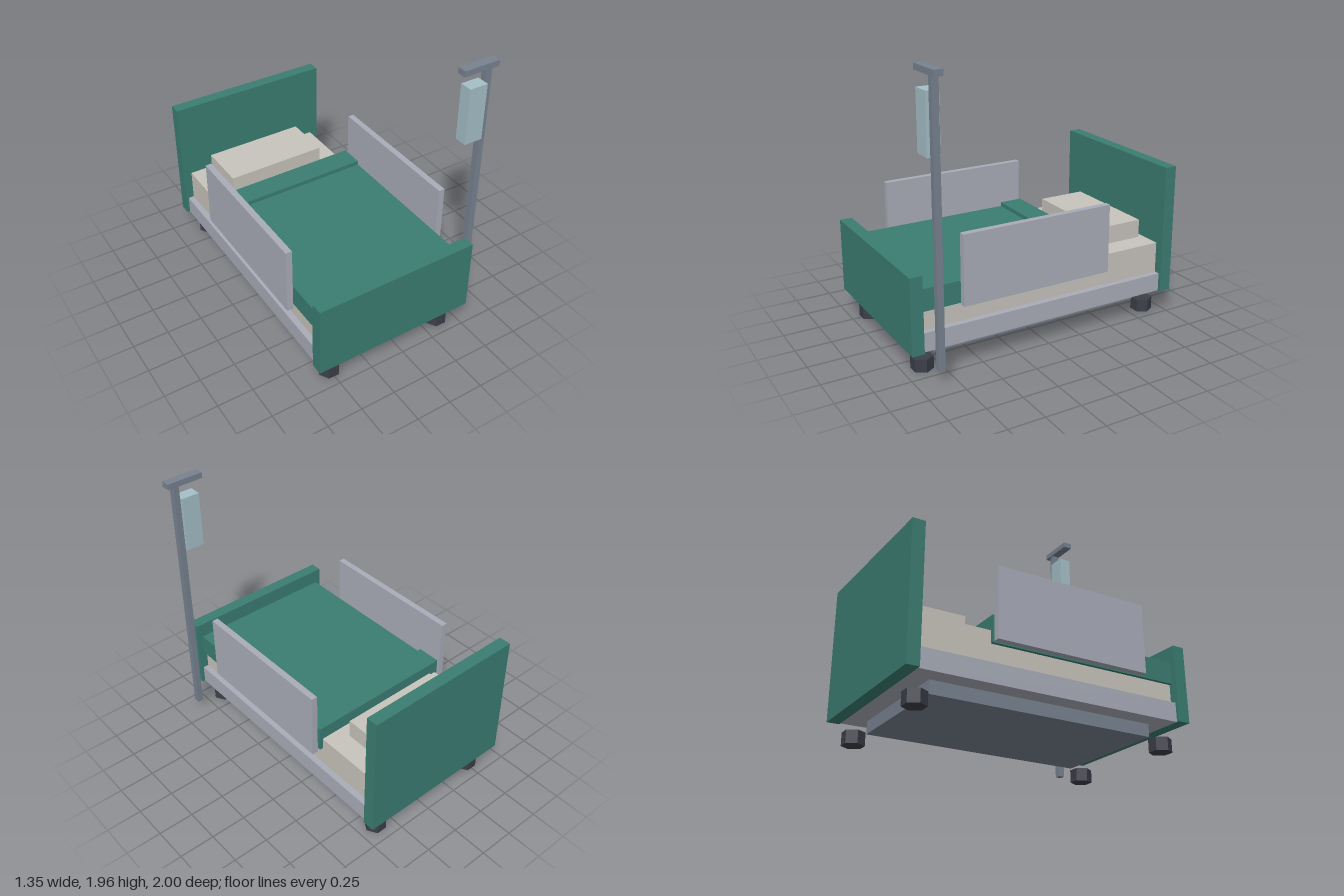
import * as THREE from 'three';

function material(name, color) {
  const m = new THREE.MeshStandardMaterial({ color });
  m.name = name;
  return m;
}

export function createModel() {
  const bed = new THREE.Group();
  bed.name = 'hospitalBed';

  const green = material('green', 0x3b7d72);
  const paleGrey = material('paleGrey', 0xa9adb9);
  const linen = material('linen', 0xc8c4bd);
  const steel = material('steel', 0x788290);
  const rubber = material('rubber', 0x3c3f49);
  const fluid = material('fluid', 0xa5c0c8);

  // Box given by its extents on each axis
  function box(name, mat, [x0, x1], [y0, y1], [z0, z1]) {
    const mesh = new THREE.Mesh(new THREE.BoxGeometry(x1 - x0, y1 - y0, z1 - z0), mat);
    mesh.position.set((x0 + x1) / 2, (y0 + y1) / 2, (z0 + z1) / 2);
    mesh.name = name;
    bed.add(mesh);
  }

  const cx = -0.066; // the bed sits off centre to make room for the drip stand
  const span = (half) => [cx - half, cx + half];

  // Frame and end boards
  box('undercarriage', steel, span(0.437), [0.09, 0.176], [-0.785, 0.785]);
  box('frame', paleGrey, span(0.564), [0.176, 0.306], [-0.915, 0.915]);
  box('headboard', green, span(0.585), [0.176, 1.09], [-1, -0.915]);
  box('footboard', green, span(0.585), [0.176, 0.698], [0.915, 1]);

  // Bedding
  box('mattress', linen, span(0.522), [0.306, 0.525], [-0.915, 0.915]);
  box('pillow', linen, span(0.368), [0.525, 0.655], [-0.875, -0.525]);
  box('blanket', green, span(0.544), [0.44, 0.59], [-0.265, 0.915]);
  box('blanketFold', green, span(0.544), [0.44, 0.62], [-0.435, -0.265]);

  // Side rails and hexagonal casters
  for (const side of [-1, 1]) {
    const x = cx + side * 0.587;
    box('sideRail', paleGrey, [x - 0.022, x + 0.022], [0.44, 0.917], [-0.435, 0.65]);
    for (const end of [-1, 1]) {
      const geometry = new THREE.CylinderGeometry(0.075, 0.075, 0.088, 6).toNonIndexed();
      geometry.rotateY(Math.PI / 6);
      geometry.computeVertexNormals();
      const caster = new THREE.Mesh(geometry, rubber);
      caster.position.set(cx + side * 0.437, 0.044, end * 0.87);
      caster.name = 'caster';
      bed.add(caster);
    }
  }

  // Drip stand
  box('dripPole', steel, [0.585, 0.627], [0.09, 1.92], [0.828, 0.872]);
  box('dripCrossbar', steel, [0.41, 0.67], [1.92, 1.96], [0.818, 0.882]);
  box('dripBag', fluid, [0.455, 0.585], [1.44, 1.83], [0.806, 0.893]);

  return bed;
}
